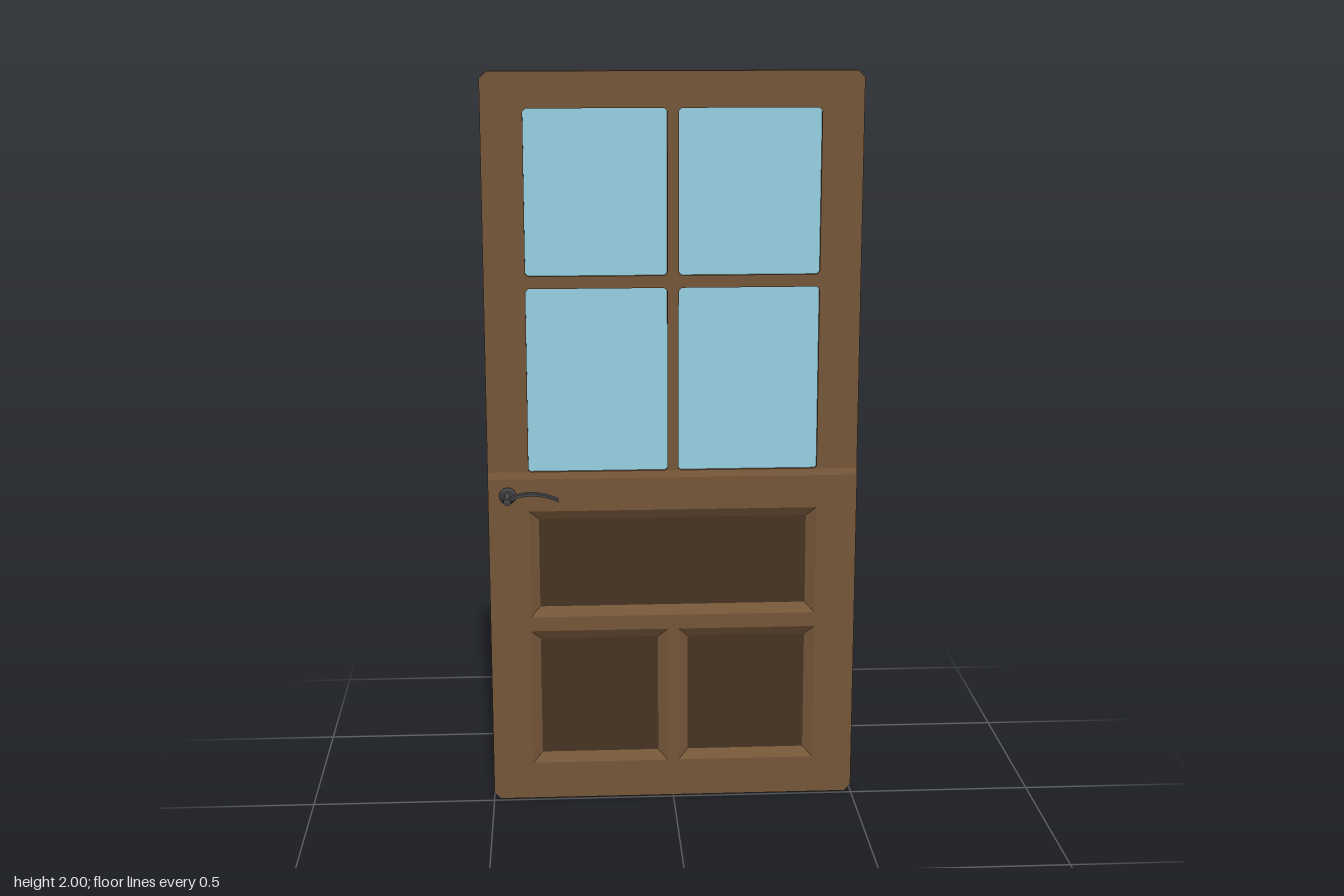
import * as THREE from 'three';

const Z = -0.034;          // middle plane of the door leaf
const HALF_UP = 0.016;     // half thickness of the glazed part
const HALF_LOW = 0.0235;   // half thickness of the panelled part
const HALF_PANEL = 0.007;  // half thickness of the sunken panels

const material = (color) => new THREE.MeshStandardMaterial({ color, flatShading: true });

// Rectangle whose bottom and top corners are cut by the given amounts
function cutRect(Kind, x0, y0, x1, y1, bottom, top) {
  const p = [
    [x0 + bottom, y0], [x1 - bottom, y0], [x1, y0 + bottom], [x1, y1 - top],
    [x1 - top, y1], [x0 + top, y1], [x0, y1 - top], [x0, y0 + bottom],
  ].map(([x, y]) => new THREE.Vector2(x, y));
  return new Kind(p.filter((v, i) => !v.equals(p[(i + 1) % p.length])));
}

// Extrusion centred on the middle plane
function slab(shape, half) {
  const g = new THREE.ExtrudeGeometry(shape, { depth: half * 2, bevelEnabled: false, curveSegments: 10 });
  return g.translate(0, 0, Z - half);
}

// Sloped moulding around a recess, on both faces of the door
function moulding([x0, y0, x1, y1], inset) {
  const ring = (d) => [[x0 + d, y0 + d], [x1 - d, y0 + d], [x1 - d, y1 - d], [x0 + d, y1 - d]];
  const outer = ring(0), inner = ring(inset), pos = [];
  for (const s of [1, -1]) {
    for (let i = 0; i < 4; i++) {
      const j = (i + 1) % 4;
      const a = [...outer[i], Z + s * HALF_LOW], b = [...outer[j], Z + s * HALF_LOW];
      const c = [...inner[j], Z + s * HALF_PANEL], d = [...inner[i], Z + s * HALF_PANEL];
      pos.push(...(s > 0 ? [a, b, c, a, c, d] : [a, c, b, a, d, c]).flat());
    }
  }
  const g = new THREE.BufferGeometry();
  g.setAttribute('position', new THREE.Float32BufferAttribute(pos, 3));
  g.computeVertexNormals();
  return g;
}

export function createModel() {
  const door = new THREE.Group();
  door.name = 'door';
  const wood = material(0x755638);
  const darkWood = material(0x473423);
  const glass = material(0x97d0e2);
  const metal = material(0x444648);
  const add = (name, geometry, mat, parent = door) => {
    const mesh = new THREE.Mesh(geometry, mat);
    mesh.name = name;
    parent.add(mesh);
    return mesh;
  };

  // Glazed upper frame with four openings
  const upper = cutRect(THREE.Shape, -0.5, 0.92, 0.5, 2, 0, 0.018);
  for (const [x0, x1] of [[-0.39, -0.015], [0.015, 0.39]]) {
    for (const [y0, y1] of [[0.936, 1.435], [1.468, 1.905]]) {
      upper.holes.push(cutRect(THREE.Path, x0, y0, x1, y1, 0.008, 0.008));
      const pane = new THREE.BoxGeometry(x1 - x0, y1 - y0, 0.012);
      add('glassPane', pane.translate((x0 + x1) / 2, (y0 + y1) / 2, Z), glass);
    }
  }
  add('upperFrame', slab(upper, HALF_UP), wood);

  // Thicker lower frame with sunken panels
  const lower = cutRect(THREE.Shape, -0.5, 0, 0.5, 0.92, 0.018, 0);
  const recesses = [
    [-0.39, 0.53, 0.39, 0.83],
    [-0.39, 0.105, -0.015, 0.49],
    [0.015, 0.105, 0.39, 0.49],
  ];
  for (const r of recesses) {
    const [x0, y0, x1, y1] = r;
    lower.holes.push(cutRect(THREE.Path, x0, y0, x1, y1, 0, 0));
    add('panelMoulding', moulding(r, 0.026), wood);
    const panel = new THREE.BoxGeometry(x1 - x0 - 0.05, y1 - y0 - 0.05, HALF_PANEL * 2);
    add('sunkenPanel', panel.translate((x0 + x1) / 2, (y0 + y1) / 2, Z), darkWood);
  }
  add('lowerFrame', slab(lower, HALF_LOW), wood);

  // Sloped shoulder between the thick and thin parts
  const profile = new THREE.Shape([
    [-HALF_LOW, 0.92], [HALF_LOW, 0.92], [HALF_UP, 0.938], [-HALF_UP, 0.938],
  ].map(([x, y]) => new THREE.Vector2(x, y)));
  const shoulder = new THREE.ExtrudeGeometry(profile, { depth: 1, bevelEnabled: false });
  add('shoulder', shoulder.translate(0, 0, -0.5).rotateY(Math.PI / 2).translate(0, 0, Z), wood);

  // Lever handle on the front
  const handle = new THREE.Group();
  handle.name = 'handle';
  handle.position.set(-0.447, 0.875, 0);
  door.add(handle);
  const rod = (top, bottom, z0, z1) => new THREE.CylinderGeometry(top, bottom, z1 - z0, 16)
    .rotateX(Math.PI / 2).translate(0, 0, (z0 + z1) / 2);
  add('rosePlate', rod(0.023, 0.023, -0.014, -0.006), metal, handle);
  add('roseRim', rod(0.016, 0.023, -0.006, 0.001), metal, handle);
  add('spindle', rod(0.01, 0.01, 0, 0.057), metal, handle);

  const lever = new THREE.Shape();
  lever.moveTo(0, -0.004);
  lever.bezierCurveTo(0.035, 0.018, 0.085, 0.022, 0.136, -0.003);
  lever.lineTo(0.137, 0.003);
  lever.bezierCurveTo(0.085, 0.029, 0.035, 0.025, 0, 0.006);
  const blade = new THREE.ExtrudeGeometry(lever, { depth: 0.02, bevelEnabled: false, curveSegments: 10 });
  add('lever', blade.translate(0, 0, 0.033), metal, handle);

  return door;
}
